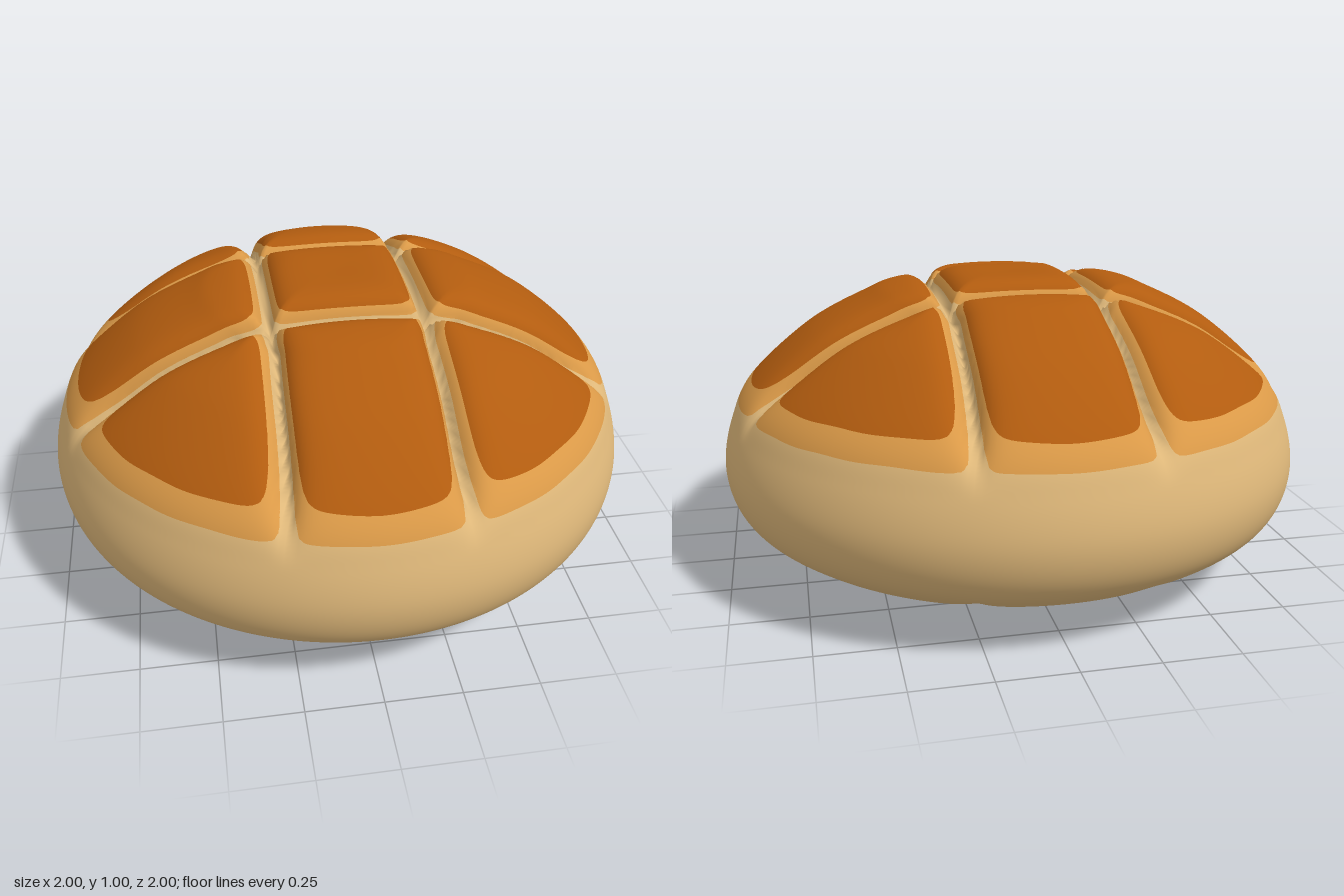
import * as THREE from 'three';
import { mergeVertices } from 'three/addons/utils/BufferGeometryUtils.js';

// Side profile of the loaf, from the top pole to the bottom pole: [radius, height]
const PROFILE = [
  [0, 1.003], [0.2, 1.003], [0.4, 0.972], [0.5, 0.935], [0.7, 0.83], [0.9, 0.655], [0.97, 0.52],
  [1, 0.38], [0.975, 0.26], [0.9, 0.175], [0.75, 0.1], [0.4, 0.02], [0.2, 0.004], [0, 0],
];
const RIM = 0.018, CRUST = 0.035; // bake levels where the colour changes

const { smoothstep } = THREE.MathUtils;

// Distances to the nearest score line in each direction
function scoreDistances(x, z, top) {
  const gx = top ? 0.26 + 0.02 * z * z : 0.27;
  const gz = top ? 0.26 + 0.02 * x * x : 0.225;
  return [Math.abs(Math.abs(x) - gx), Math.abs(Math.abs(z) - gz)];
}

// How baked the surface is: low in the scores and on the sides, high on the cell tops
function bakeLevel(x, y, z, top) {
  let [sx, sz] = scoreDistances(x, z, top);
  let h;
  if (top) {
    h = (y - 0.516) * 0.243 + 0.0006 * Math.sin(x * 17 + z * 5) * Math.sin(z * 19 - x * 4);
  } else {
    sx *= 0.5;
    sz *= 0.5;
    const spot = Math.exp(-((x - 0.43) ** 2 + (z - 0.08) ** 2) / 0.012);
    h = 0.053 - 0.06 * Math.hypot(x, z) + 0.025 * spot;
  }
  const inv = (v) => 1 / Math.max(v, 1e-4) ** 2;
  return 1 / Math.sqrt(inv(sx) + inv(sz) + inv(h));
}

// Whole loaf as one smooth closed surface, with a bake level for every vertex
function buildLoaf() {
  const box = new THREE.BoxGeometry(2, 2, 2, 88, 88, 88);
  box.deleteAttribute('uv');
  box.deleteAttribute('normal');
  const geo = mergeVertices(box, 1e-4);
  const curve = new THREE.SplineCurve(PROFILE.map(([r, y]) => new THREE.Vector2(r, y)));
  curve.arcLengthDivisions = 400;
  const pos = geo.attributes.position;
  const bake = [];
  const d = new THREE.Vector3();
  for (let i = 0; i < pos.count; i++) {
    d.fromBufferAttribute(pos, i).normalize();
    const t = Math.acos(THREE.MathUtils.clamp(d.y, -1, 1)) / Math.PI;
    const p = curve.getPointAt(t);
    const tan = curve.getTangentAt(t);
    const a = Math.atan2(d.z, d.x);
    const x = p.x * Math.cos(a), z = p.x * Math.sin(a);
    const top = p.y > 0.3;

    // Press the scores in along the surface normal
    const s = Math.min(...scoreDistances(x, z, top));
    const depth = top ? 0.105 * smoothstep(p.y, 0.52, 0.78) : 0.04 * (1 - smoothstep(p.y, 0.06, 0.19));
    const press = depth * Math.exp(-s / 0.03);
    const r = p.x + tan.y * press;
    pos.setXYZ(i, r * Math.cos(a), p.y - tan.x * press, r * Math.sin(a));
    bake.push(bakeLevel(x, p.y, z, top));
  }
  geo.computeVertexNormals();
  return { geo, bake };
}

// Keep the part of a polygon where sign * (bake - level) >= 0; a corner is [xyz, normal, bake]
function clip(poly, level, sign) {
  const out = [];
  poly.forEach((a, i) => {
    const b = poly[(i + 1) % poly.length];
    const da = sign * (a[6] - level), db = sign * (b[6] - level);
    if (da >= 0) out.push(a);
    if ((da >= 0) !== (db >= 0)) {
      const k = da / (da - db);
      out.push(a.map((v, j) => v + (b[j] - v) * k));
    }
  });
  return out;
}

// Cut out the surface between two bake levels
function bakedBand({ geo, bake }, lo, hi) {
  const { position: P, normal: N } = geo.attributes;
  const index = geo.index;
  const points = [], normals = [];
  const corner = (i) => [P.getX(i), P.getY(i), P.getZ(i), N.getX(i), N.getY(i), N.getZ(i), bake[i]];
  for (let f = 0; f < index.count; f += 3) {
    let poly = [0, 1, 2].map((k) => corner(index.getX(f + k)));
    poly = clip(clip(poly, lo, 1), hi, -1);
    for (let k = 1; k + 1 < poly.length; k++) {
      for (const c of [poly[0], poly[k], poly[k + 1]]) {
        points.push(c[0], c[1], c[2]);
        normals.push(c[3], c[4], c[5]);
      }
    }
  }
  const band = new THREE.BufferGeometry();
  band.setAttribute('position', new THREE.Float32BufferAttribute(points, 3));
  band.setAttribute('normal', new THREE.Float32BufferAttribute(normals, 3));
  return band;
}

export function createModel() {
  const group = new THREE.Group();
  group.name = 'breadRoll';
  const loaf = buildLoaf();
  const parts = [
    ['doughSides', 'paleDough', 0xdfb87a, -1, RIM],
    ['goldenRim', 'goldenDough', 0xdb9a48, RIM, CRUST],
    ['bakedCrust', 'brownCrust', 0xb25c0f, CRUST, 1],
  ];
  for (const [name, colourName, color, lo, hi] of parts) {
    const material = new THREE.MeshStandardMaterial({ color });
    material.name = colourName;
    const mesh = new THREE.Mesh(bakedBand(loaf, lo, hi), material);
    mesh.name = name;
    group.add(mesh);
  }
  return group;
}
